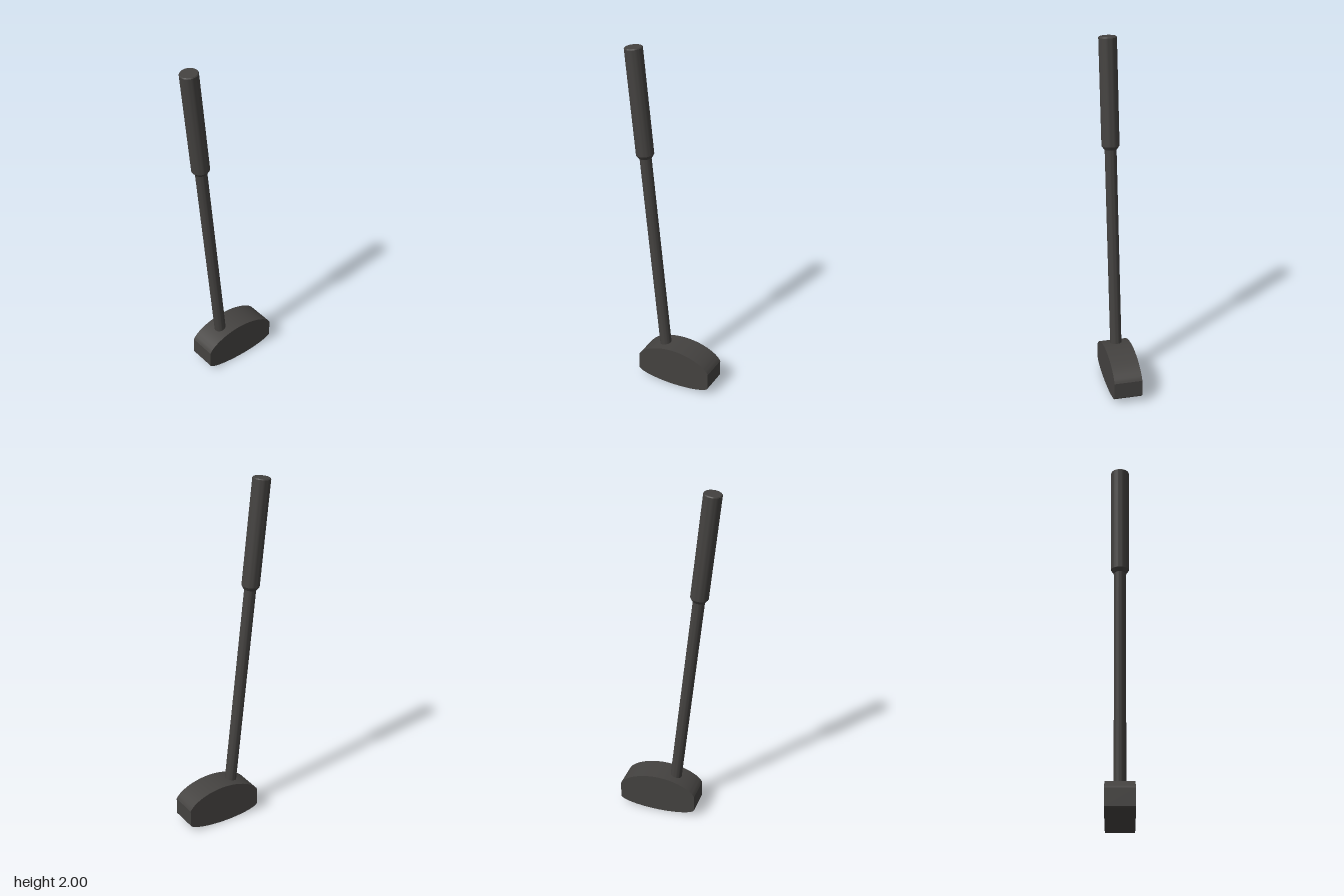
import * as THREE from 'three';
import { toCreasedNormals } from 'three/addons/utils/BufferGeometryUtils.js';

export function createModel() {
  const model = new THREE.Group();
  const material = new THREE.MeshStandardMaterial({ color: 0x444240 });

  const add = (name, geometry, parent) => {
    const mesh = new THREE.Mesh(toCreasedNormals(geometry, 0.5), material);
    mesh.name = name;
    parent.add(mesh);
    return mesh;
  };
  // Solid turned around y; points run from bottom to top
  const turned = (points) =>
    new THREE.LatheGeometry(points.map(([r, y]) => new THREE.Vector2(r, y)), 40);

  // Mallet head: domed top, shallower curved sole, flat ends
  const half = 0.226;
  const outline = new THREE.Shape();
  outline.moveTo(-half, 0.045);
  outline.bezierCurveTo(-0.217, 0.02, -0.11, 0, 0, 0);
  outline.bezierCurveTo(0.11, 0, 0.217, 0.02, half, 0.045);
  outline.lineTo(half, 0.14);
  outline.bezierCurveTo(0.2, 0.19, 0.1, 0.23, 0, 0.23);
  outline.bezierCurveTo(-0.1, 0.23, -0.2, 0.19, -half, 0.14);
  outline.closePath();
  const headGeometry = new THREE.ExtrudeGeometry(outline, {
    depth: 0.16, bevelEnabled: false, curveSegments: 20,
  });
  headGeometry.translate(0, 0, -0.08);
  add('head', headGeometry, model).position.x = 0.052;

  // Leaning handle, measured down from the top of the grip
  const handle = new THREE.Group();
  handle.name = 'handle';
  handle.position.set(-0.228, 1.995, 0);
  handle.rotation.z = 0.106;
  model.add(handle);

  add('shaft', turned([[0, -1.86], [0.033, -1.86], [0.033, -0.55], [0, -0.55]]), handle);
  add('grip', turned([
    [0, -0.62], [0.037, -0.62], [0.05, -0.6],
    [0.05, -0.005], [0.046, 0], [0, 0],
  ]), handle);

  return model;
}
